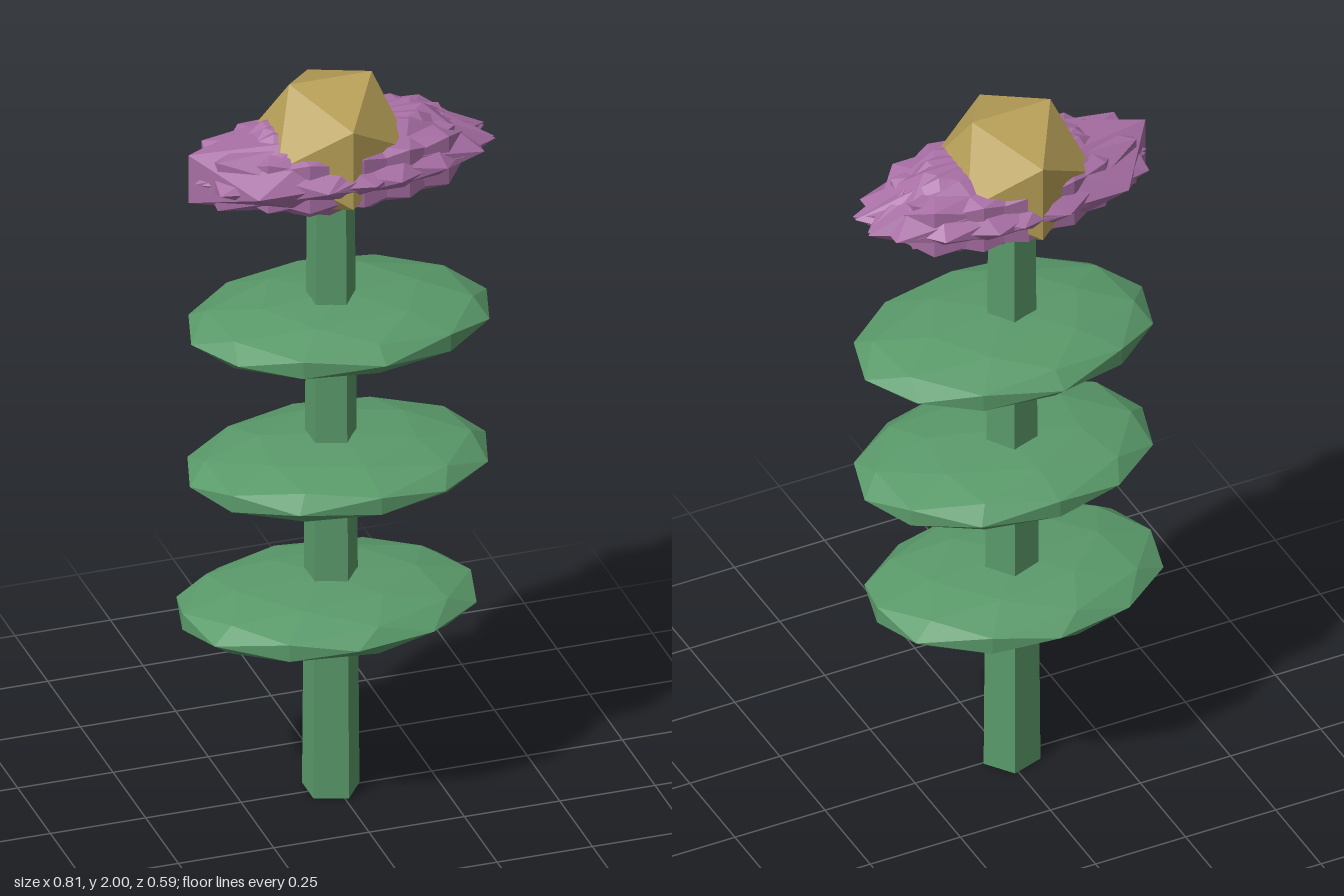
import * as THREE from 'three';

const material = (color) => new THREE.MeshStandardMaterial({ color, flatShading: true });

// Faceted ball: turned about y, then squashed and placed
function squashedBall(detail, yawDegrees, size, position) {
  const geometry = new THREE.IcosahedronGeometry(1, detail);
  geometry.rotateY(THREE.MathUtils.degToRad(yawDegrees));
  geometry.scale(...size);
  geometry.translate(...position);
  return geometry;
}

export function createModel() {
  const model = new THREE.Group();
  model.name = 'flower';
  const green = material(0x5a9a6a);
  const purple = material(0xa86fa5);
  const gold = material(0xb8a058);

  const add = (parent, name, geometry, mat) => {
    const mesh = new THREE.Mesh(geometry, mat);
    mesh.name = name;
    parent.add(mesh);
  };

  // Tapered five-sided stem with a corner towards +x
  const stem = new THREE.CylinderGeometry(0.062, 0.075, 1.76, 5, 1, false, Math.PI / 2);
  stem.translate(-0.013, 0.88, -0.004);
  add(model, 'stem', stem, green);

  // Three flat leaf discs, each turned a little further
  const leaves = new THREE.Group();
  leaves.name = 'leaves';
  model.add(leaves);
  const leafCentres = [[-0.03, 0.54, 0.012], [0, 0.93, 0.01], [0.01, 1.32, -0.01]];
  leafCentres.forEach((centre, i) => {
    add(leaves, 'leaf', squashedBall(1, -60 + 32 * i, [0.395, 0.075, 0.283], centre), green);
  });

  // Spiky blossom: overlapping flat petals fanned about the stem
  const petals = new THREE.Group();
  petals.name = 'petals';
  model.add(petals);
  const petalShifts = [0.02, 0.015, 0.02, -0.02, -0.05, -0.02, 0.02, 0.01];
  petalShifts.forEach((x, i) => {
    add(petals, 'petal', squashedBall(0, 22.5 * i, [0.395, 0.128, 0.193], [x, 1.78, -0.006]), purple);
  });

  // Faceted flower centre
  add(model, 'flowerCentre', squashedBall(0, 0, [0.206, 0.206, 0.206], [-0.013, 1.825, -0.008]), gold);

  return model;
}
